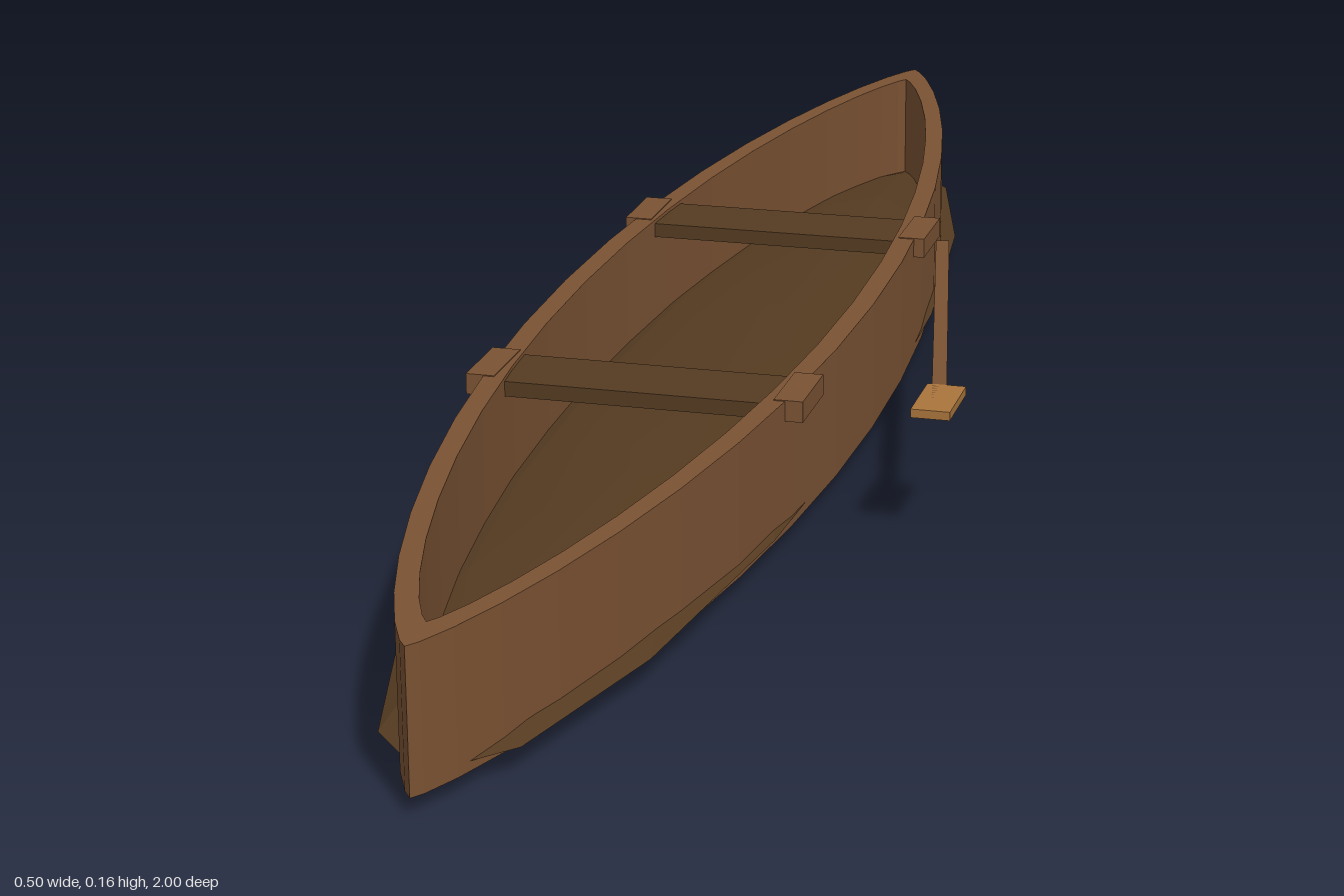
import * as THREE from 'three';

const CX = -0.073; // keel line, offset to leave room for the paddle

export function createModel() {
  const mat = (name, color) => {
    const m = new THREE.MeshStandardMaterial({ color, flatShading: true });
    m.name = name;
    return m;
  };
  const hullWood = mat('hull wood', 0x7a5233);
  const darkWood = mat('dark wood', 0x553b21);
  const bladeWood = mat('blade wood', 0xa9743c);

  const model = new THREE.Group();
  model.name = 'canoe';
  const add = (name, geo, material, x, y, z, parent = model) => {
    const mesh = new THREE.Mesh(geo, material);
    mesh.name = name;
    mesh.position.set(x, y, z);
    parent.add(mesh);
    return mesh;
  };

  // Pointed outline, closed around both sides
  const outline = (halfWidth, halfLength) => {
    const pts = [], n = 20;
    for (let side = 1; side >= -1; side -= 2) {
      for (let i = 0; i < n; i++) {
        const t = Math.cos((Math.PI * i) / n);
        const w = i === 0 ? 0 : Math.pow(1 - t * t, 0.8);
        pts.push(new THREE.Vector2(side * halfWidth * w, -side * halfLength * t));
      }
    }
    return pts;
  };

  // Upright hull wall with an open middle
  const wall = new THREE.Shape(outline(0.173, 1));
  wall.holes.push(new THREE.Path(outline(0.15, 0.945)));
  const wallGeo = new THREE.ExtrudeGeometry(wall, { depth: 0.14, bevelEnabled: false });
  wallGeo.rotateX(-Math.PI / 2);
  add('hullWall', wallGeo, hullWood, CX, 0.017, 0);

  // Flattened rounded bottom, which is also the floor
  const bottom = new THREE.SphereGeometry(1, 16, 10);
  bottom.scale(0.172, 0.0265, 0.972);
  add('hullBottom', bottom, darkWood, CX, 0.0265, 0);

  // Thwart seats with blocks clasping the gunwales
  for (const end of [1, -1]) {
    const seat = new THREE.Group();
    seat.name = end > 0 ? 'frontSeat' : 'backSeat';
    seat.position.set(CX, 0, end * 0.285);
    model.add(seat);
    add('seatPlank', new THREE.BoxGeometry(0.31, 0.016, 0.086), darkWood, 0, 0.145, 0, seat);
    for (const side of [1, -1]) {
      add('seatBlock', new THREE.BoxGeometry(0.03, 0.022, 0.086), hullWood, side * 0.161, 0.147, 0, seat);
    }
  }

  // Paddle lying beside the hull
  const paddle = new THREE.Group();
  paddle.name = 'paddle';
  model.add(paddle);
  const a = new THREE.Vector2(0.119, -0.268), b = new THREE.Vector2(0.227, 0.262);
  const shaft = add('paddleShaft', new THREE.BoxGeometry(0.015, 0.014, a.distanceTo(b)), hullWood,
    (a.x + b.x) / 2, 0.143, (a.y + b.y) / 2, paddle);
  shaft.rotation.y = Math.atan2(b.x - a.x, b.y - a.y);
  add('paddleBlade', new THREE.BoxGeometry(0.04, 0.009, 0.08), bladeWood, 0.226, 0.1455, 0.26, paddle);

  return model;
}
